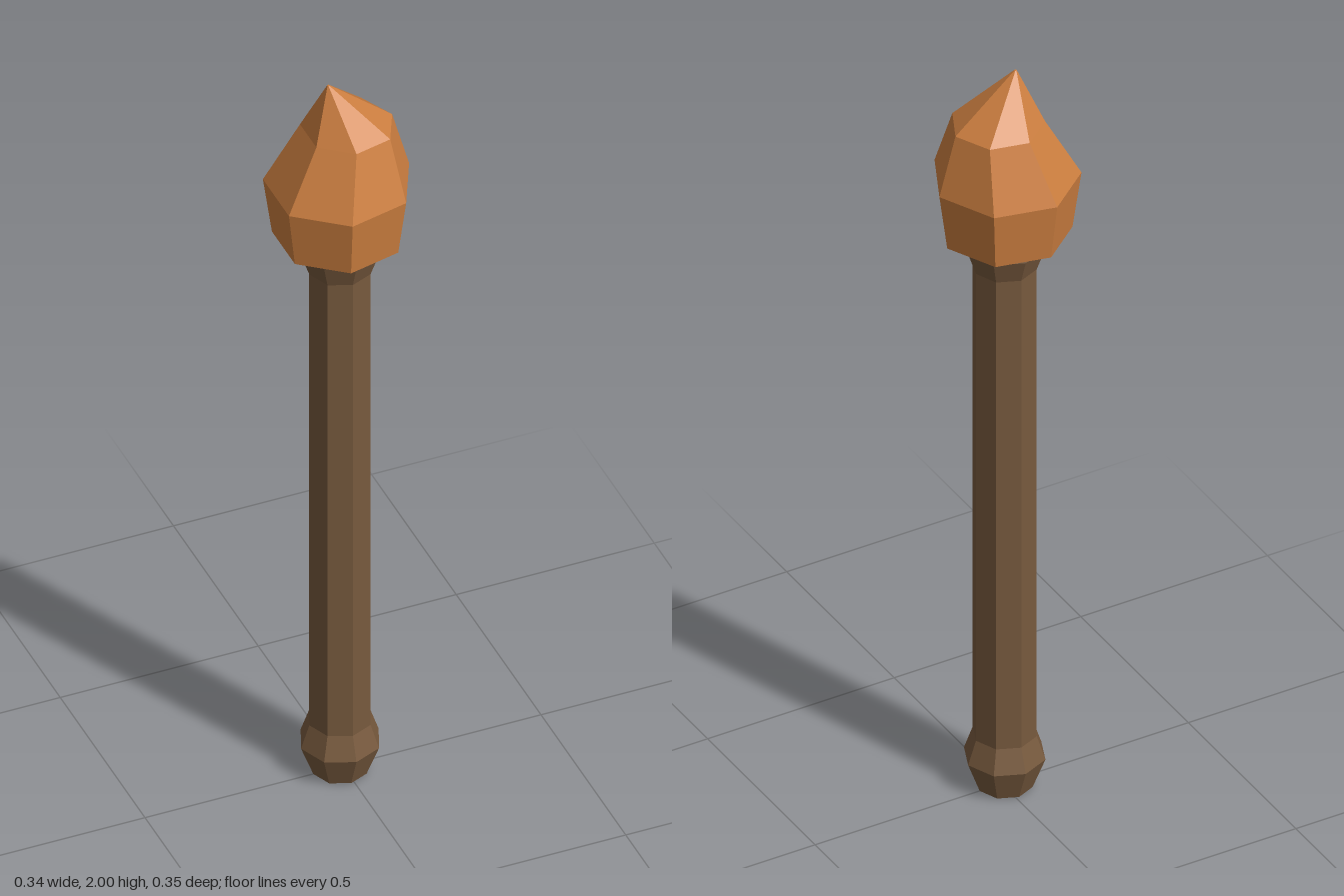
import * as THREE from 'three';

// Faceted stack of rings; each ring is [radius, height, x centre]
function facetedRings(rings, sides) {
  const points = rings.map(([r, y]) => new THREE.Vector2(r, y));
  const lathe = new THREE.LatheGeometry(points, sides, Math.PI / 2);
  const pos = lathe.attributes.position;
  for (let i = 0; i < pos.count; i++) {
    pos.setX(i, pos.getX(i) + rings[i % rings.length][2]);
  }
  const flat = lathe.toNonIndexed();
  flat.computeVertexNormals();
  return flat;
}

export function createModel() {
  const wood = new THREE.MeshStandardMaterial({ color: 0x785a3e });
  wood.name = 'brown wood';
  const orange = new THREE.MeshStandardMaterial({ color: 0xcd7f40 });
  orange.name = 'burnt orange';

  const group = new THREE.Group();
  group.name = 'torch';

  // Octagonal shaft with a flared collar at each end
  const c = -0.008;
  const handle = new THREE.Mesh(facetedRings([
    [0, 0, c], [0.067, 0, c], [0.098, 0.083, c], [0.077, 0.145, c],
    [0.077, 1.462, c], [0.098, 1.524, c], [0.067, 1.607, c], [0, 1.607, c],
  ], 8), wood);
  handle.name = 'handle';

  // Seven-sided head whose tip leans to one side
  const head = new THREE.Mesh(facetedRings([
    [0, 1.56, -0.01], [0.156, 1.56, -0.01], [0.177, 1.712, -0.01],
    [0.1115, 1.868, 0.0125], [0.003, 2, -0.037], [0, 2, -0.037],
  ], 7), orange);
  head.name = 'head';

  group.add(handle, head);
  return group;
}
